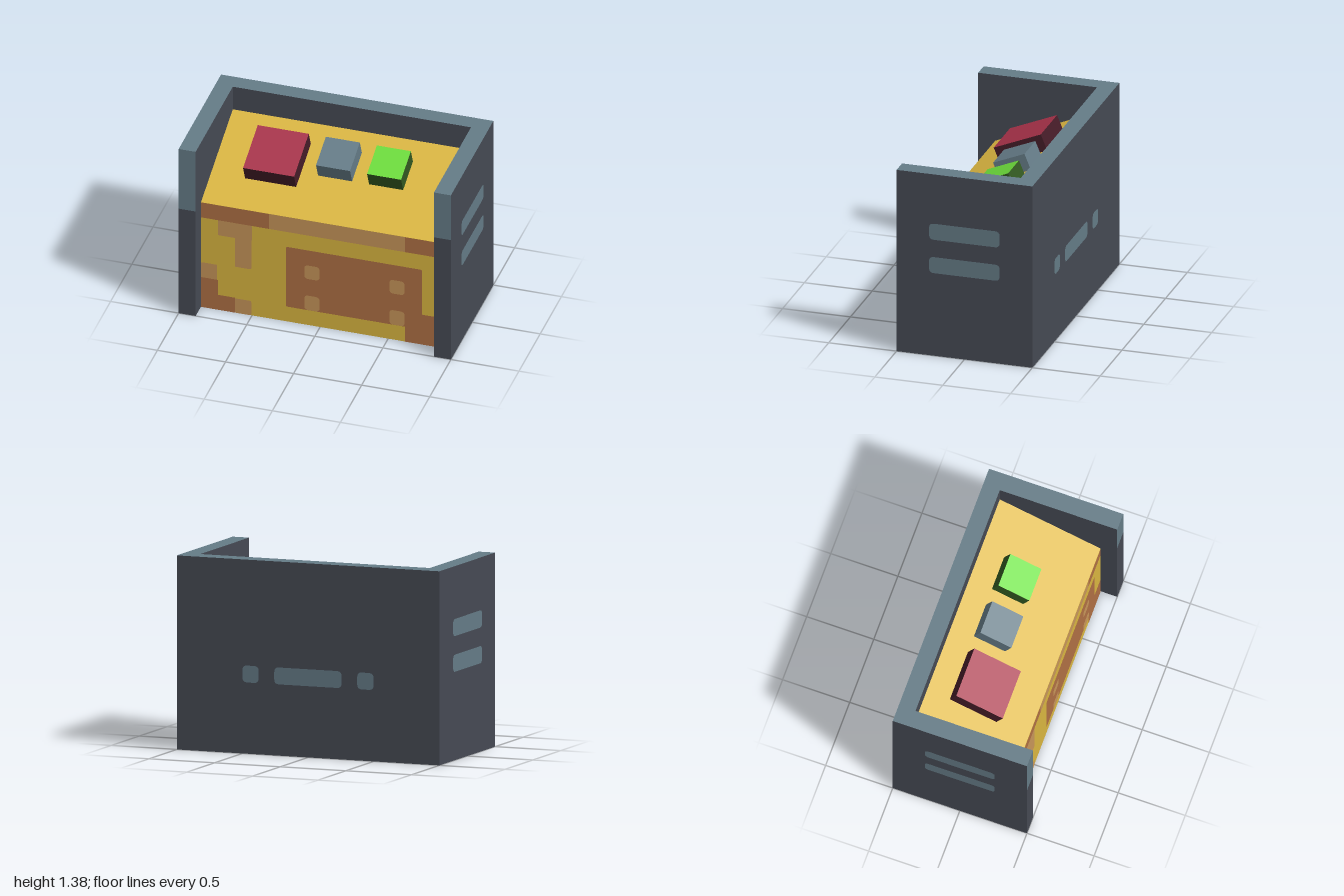
import * as THREE from 'three';

const mat = (name, color) => new THREE.MeshStandardMaterial({ name, color });

// Flat rectangle with cut or rounded corners, spanning x0..x1, y0..y1
function patchGeometry(x0, y0, x1, y1, r) {
  const s = new THREE.Shape();
  s.moveTo(x0 + r, y0);
  s.lineTo(x1 - r, y0);
  s.quadraticCurveTo(x1, y0, x1, y0 + r);
  s.lineTo(x1, y1 - r);
  s.quadraticCurveTo(x1, y1, x1 - r, y1);
  s.lineTo(x0 + r, y1);
  s.quadraticCurveTo(x0, y1, x0, y1 - r);
  s.lineTo(x0, y0 + r);
  s.quadraticCurveTo(x0, y0, x0 + r, y0);
  return new THREE.ShapeGeometry(s, 4);
}

export function createModel() {
  const model = new THREE.Group();
  model.name = 'controlDesk';

  const dark = mat('charcoal', 0x464a54);
  const slate = mat('slate', 0x657c87);
  const yellow = mat('mustard', 0xdab640);
  const brown = mat('rust', 0xb07044);
  const tan = mat('tan', 0xc8965a);
  const red = mat('red', 0xa8324a);
  const darkRed = mat('darkRed', 0x451c28);
  const green = mat('green', 0x6cdc3a);
  const darkGreen = mat('darkGreen', 0x325820);

  const add = (parent, name, geometry, material) => {
    const mesh = new THREE.Mesh(geometry, material);
    mesh.name = name;
    parent.add(mesh);
    return mesh;
  };

  // Box between two corners; faces in order +x -x +y -y +z -z
  const box = (name, a, b, material) => {
    const size = b.map((v, i) => v - a[i]);
    const mesh = add(model, name, new THREE.BoxGeometry(...size), material);
    mesh.position.set(...a.map((v, i) => (v + b[i]) / 2));
    return mesh;
  };

  // Surrounding walls: dark faces, light top edge and light upper front edge
  const H = 1.375;
  const wallTop = [dark, dark, slate, dark, slate, dark];
  box('backWall', [-0.875, 0, -0.5], [0.875, H, -0.375], [dark, dark, slate, dark, dark, dark]);
  for (const [name, x, split] of [['leftWall', 0.875, 1], ['rightWall', -1, 0.875]]) {
    box(name + 'Lower', [x, 0, -0.5], [x + 0.125, split, 0.5], dark);
    box(name + 'Upper', [x, split, -0.5], [x + 0.125, H, 0.5], wallTop);
  }

  // Desk body with sloping top
  const tilt = Math.PI / 8;
  const backY = 0.875 + 0.75 * Math.tan(tilt);
  const profile = new THREE.Shape();
  profile.moveTo(-0.375, 0);
  profile.lineTo(0.375, 0);
  profile.lineTo(0.375, backY);
  profile.lineTo(-0.375, 0.875);
  profile.closePath();
  const body = new THREE.ExtrudeGeometry(profile, { depth: 1.75, bevelEnabled: false });
  body.rotateY(Math.PI / 2);
  body.translate(-0.875, 0, 0);
  add(model, 'deskBody', body, yellow);

  // Painted patches on the desk front: x0, y0, x1, y1, corner radius
  const front = new THREE.Group();
  front.name = 'frontPaint';
  front.position.z = 0.375;
  model.add(front);
  const paint = (name, list, material, lift) => {
    for (const p of list) add(front, name, patchGeometry(...p), material).position.z = lift;
  };
  paint('rustPatch', [
    [-0.875, 0.75, -0.375, 0.875, 0],
    [0.625, 0.75, 0.875, 0.875, 0],
    [-0.875, 0, -0.75, 0.25, 0],
    [-0.75, 0, -0.625, 0.125, 0],
    [-0.25, 0.125, 0.75, 0.625, 0.012],
    [0.625, 0, 0.875, 0.25, 0],
  ], brown, 0.002);
  paint('tanPatch', [
    [-0.375, 0.75, 0.625, 0.875, 0],
    [-0.75, 0.625, -0.5, 0.75, 0.01],
    [-0.625, 0.385, -0.505, 0.66, 0.01],
    [-0.875, 0.25, -0.755, 0.375, 0.01],
    [-0.625, 0, -0.505, 0.12, 0.01],
  ], tan, 0.002);
  paint('rivet', [
    [-0.115, 0.387, -0.003, 0.5, 0.03],
    [0.51, 0.387, 0.622, 0.5, 0.03],
    [-0.115, 0.127, -0.003, 0.248, 0.03],
    [0.51, 0.127, 0.622, 0.248, 0.03],
  ], tan, 0.004);

  // Vent slots on both sides
  for (const side of [1, -1]) {
    for (const y of [0.627, 0.88]) {
      const slot = add(model, 'sideVent', patchGeometry(-0.26, y, 0.26, y + 0.122, 0.035), slate);
      slot.rotation.y = side * Math.PI / 2;
      slot.position.x = side * 1.003;
    }
  }

  // Vent slots on the back
  for (const [x0, x1] of [[-0.5, -0.375], [-0.257, 0.257], [0.375, 0.5]]) {
    const slot = add(model, 'backVent', patchGeometry(x0, 0.505, x1, 0.625, 0.035), slate);
    slot.rotation.y = Math.PI;
    slot.position.z = -0.503;
  }

  // Buttons on the slope, aligned along their back edge
  const panel = new THREE.Group();
  panel.name = 'buttons';
  panel.position.set(0, 0.875, 0.375);
  panel.rotation.x = tilt;
  model.add(panel);
  const backEdge = -0.585 / Math.cos(tilt);
  for (const [name, x, w, d, top, side] of [
    ['redButton', -0.4375, 0.375, 0.375, red, darkRed],
    ['greyButton', 0, 0.25, 0.25, slate, slate],
    ['greenButton', 0.375, 0.25, 0.25, green, darkGreen],
  ]) {
    const button = add(panel, name, new THREE.BoxGeometry(w, 0.125, d),
      [side, side, top, side, side, side]);
    button.position.set(x, 0.0655, backEdge + d / 2);
  }

  return model;
}
